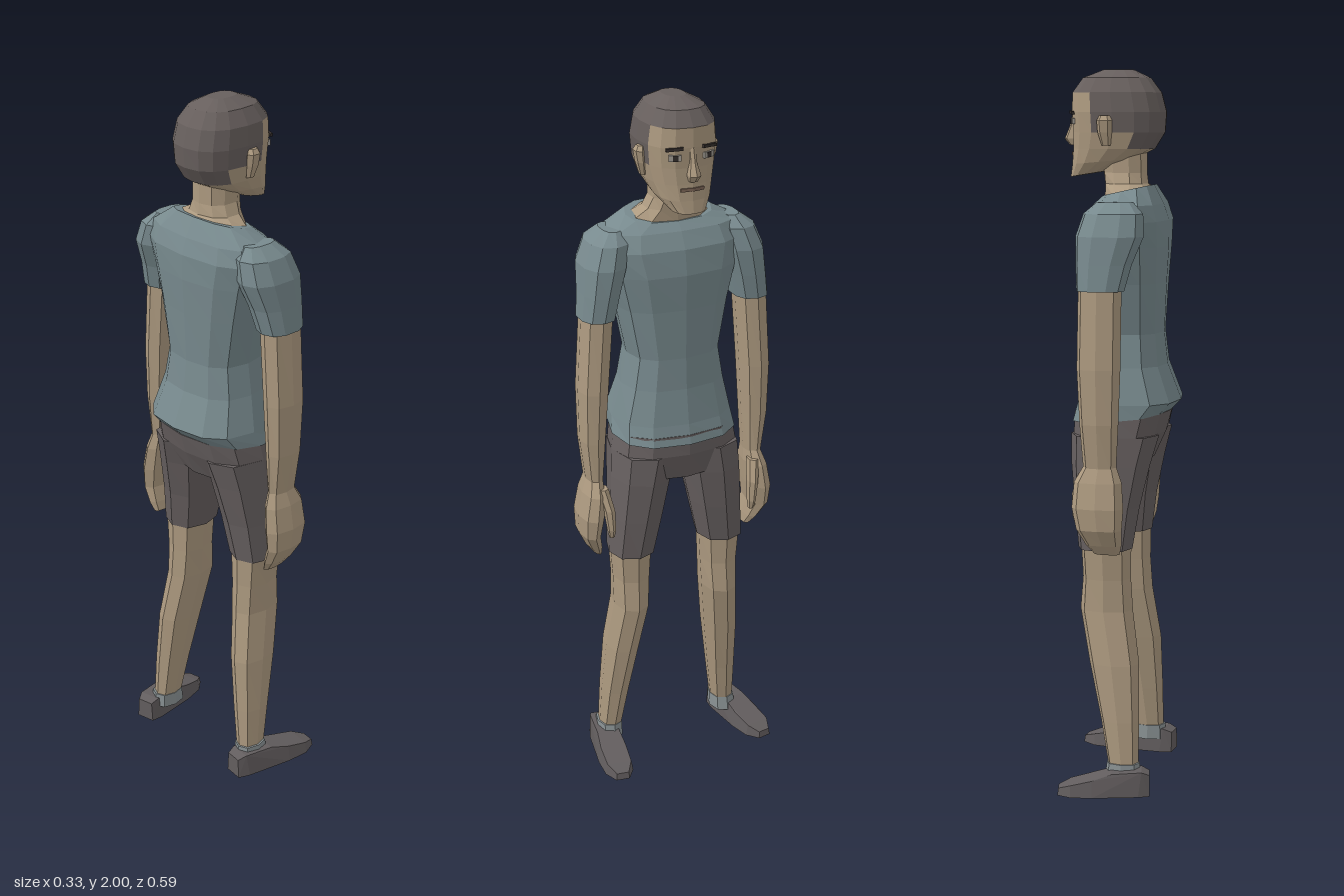
import * as THREE from 'three';
import { ConvexGeometry } from 'three/addons/geometries/ConvexGeometry.js';

const material = (name, color, extra = {}) => {
  const m = new THREE.MeshStandardMaterial({ color, flatShading: true, ...extra });
  m.name = name;
  return m;
};

// Joins horizontal rings [y, xBack, xFront, zMin, zMax, frontTilt] into a capped solid.
// slot(ring, side) picks a material index for each quad.
function loft(rings, sides = 8, power = 2.3, slot = () => 0) {
  if (rings[0][0] > rings[rings.length - 1][0]) rings = [...rings].reverse();
  const bend = (v) => Math.sign(v) * Math.pow(Math.abs(v), 2 / power);
  const points = rings.map(([y, x0, x1, z0, z1, tilt = 0]) =>
    Array.from({ length: sides }, (_, k) => {
      const a = (k / sides) * Math.PI * 2;
      const c = bend(Math.cos(a)), s = bend(Math.sin(a));
      return [(x0 + x1) / 2 + ((x1 - x0) / 2) * c, y + tilt * c, (z0 + z1) / 2 + ((z1 - z0) / 2) * s];
    }));
  const center = (r) => [(r[1] + r[2]) / 2, r[0], (r[3] + r[4]) / 2];
  const faces = [[], []];
  const last = rings.length - 1;
  for (let k = 0; k < sides; k++) {
    const n = (k + 1) % sides;
    for (let i = 0; i < last; i++) {
      const a = points[i][k], b = points[i][n], c = points[i + 1][n], d = points[i + 1][k];
      faces[slot(i, k)].push(...a, ...d, ...c, ...a, ...c, ...b);
    }
    faces[slot(0, k)].push(...center(rings[0]), ...points[0][k], ...points[0][n]);
    faces[slot(last, k)].push(...center(rings[last]), ...points[last][n], ...points[last][k]);
  }
  const g = new THREE.BufferGeometry();
  g.setAttribute('position', new THREE.Float32BufferAttribute(faces.flat(), 3));
  g.addGroup(0, faces[0].length / 3, 0);
  if (faces[1].length) g.addGroup(faces[0].length / 3, faces[1].length / 3, 1);
  g.computeVertexNormals();
  return g;
}

// Moves limb rings to the requested side of the body.
const sided = (rings, s) =>
  rings.map(([y, x0, x1, z0, z1, t]) => (s > 0 ? [y, x0, x1, z0, z1, t] : [y, x0, x1, -z1, -z0, t]));

export function createModel() {
  const skin = material('skin', 0xad9a80);
  const shirt = material('shirt', 0x788a8e);
  const shorts = material('shorts', 0x676060);
  const hair = material('hair', 0x675f5d);
  const shoe = material('shoe', 0x625d5e);
  const sock = material('sock', 0x8a9294);
  const eyeWhite = material('eyeWhite', 0x9f9a92);
  const dark = material('dark', 0x332d2b);
  const lip = material('lip', 0x7d6657);

  const model = new THREE.Group();
  model.name = 'standingMan';
  const add = (name, geometry, mat, parent = model) => {
    const mesh = new THREE.Mesh(geometry, mat);
    mesh.name = name;
    parent.add(mesh);
    return mesh;
  };

  // Torso, collar opening and neck
  add('shirtBody', loft([
    [1.045, -0.135, 0.135, -0.18, 0.18, -0.012],
    [1.09, -0.167, 0.122, -0.172, 0.172],
    [1.19, -0.128, 0.107, -0.147, 0.147],
    [1.28, -0.118, 0.102, -0.131, 0.131],
    [1.42, -0.124, 0.102, -0.16, 0.16],
    [1.52, -0.13, 0.106, -0.186, 0.186],
    [1.59, -0.13, 0.095, -0.21, 0.21],
    [1.635, -0.115, 0.07, -0.195, 0.195],
    [1.672, -0.088, 0.048, -0.125, 0.125, -0.015],
  ], 12, 2.6), shirt);
  add('neck', loft([
    [1.664, -0.085, 0.046, -0.12, 0.12, -0.012],
    [1.69, -0.072, 0.05, -0.075, 0.075],
    [1.72, -0.068, 0.055, -0.06, 0.06],
    [1.8, -0.068, 0.07, -0.058, 0.058],
  ], 10), skin);

  // Head: hair covers the crown, the back and the sideburns
  const hairSlot = (i, k) => {
    const side = k < 8 ? k : 15 - k;
    if (i >= 5) return 1;
    if (i >= 3) return side >= 3 ? 1 : 0;
    return i === 2 && side >= 5 ? 1 : 0;
  };
  add('head', loft([
    [1.715, 0.05, 0.147, -0.05, 0.05, -0.008],
    [1.75, -0.035, 0.142, -0.076, 0.076, -0.008],
    [1.785, -0.09, 0.139, -0.089, 0.089],
    [1.83, -0.118, 0.138, -0.099, 0.099],
    [1.885, -0.122, 0.142, -0.104, 0.104],
    [1.938, -0.108, 0.141, -0.098, 0.098],
    [1.978, -0.078, 0.112, -0.073, 0.073],
    [2.0, -0.03, 0.055, -0.03, 0.03],
  ], 16, 2.5, hairSlot), [skin, hair]);

  // Face
  add('nose', loft([
    [1.795, 0.125, 0.152, -0.013, 0.013],
    [1.812, 0.125, 0.167, -0.018, 0.018],
    [1.845, 0.125, 0.153, -0.01, 0.01],
    [1.885, 0.125, 0.143, -0.009, 0.009],
  ], 6), skin);
  for (const s of [1, -1]) {
    const plate = (name, w, h, x, y, z, yaw, mat) => {
      const m = add(name, new THREE.BoxGeometry(0.008, h, w), mat);
      m.position.set(x, y, z * s);
      m.rotation.y = -yaw * s;
      return m;
    };
    plate('eye', 0.034, 0.016, 0.132, 1.86, 0.048, 0.35, eyeWhite);
    plate('pupil', 0.014, 0.015, 0.134, 1.86, 0.047, 0.35, dark);
    plate('eyebrow', 0.046, 0.008, 0.134, 1.884, 0.05, 0.35, dark).rotation.x = 0.08 * s;
    plate('mouth', 0.034, 0.009, 0.137, 1.772, 0.016, 0.16, lip);
    add('ear', loft(sided([
      [1.795, 0.015, 0.04, 0.085, 0.103],
      [1.83, 0.01, 0.05, 0.088, 0.114],
      [1.862, 0.008, 0.052, 0.09, 0.12],
      [1.875, 0.015, 0.045, 0.09, 0.112],
    ], s), 6), skin);
  }

  // Hips
  add('shortsHips', loft([
    [1.06, -0.14, 0.13, -0.174, 0.174],
    [1.0, -0.124, 0.131, -0.184, 0.184],
    [0.925, -0.09, 0.115, -0.1, 0.1],
  ], 12, 2.6), shorts);

  // Limbs
  for (const s of [1, -1]) {
    const limb = (name, rings, mat, sides = 8, power = 2.4) =>
      add(name, loft(sided(rings, s), sides, power), mat);

    limb('sleeve', [
      [1.645, -0.065, 0.035, 0.15, 0.2],
      [1.615, -0.095, 0.07, 0.13, 0.242],
      [1.555, -0.1, 0.088, 0.14, 0.266],
      [1.48, -0.07, 0.085, 0.162, 0.272],
      [1.41, -0.052, 0.08, 0.178, 0.279],
    ], shirt, 10);
    limb('arm', [
      [1.43, -0.045, 0.075, 0.186, 0.272],
      [1.2, -0.045, 0.076, 0.204, 0.286],
      [1.05, -0.04, 0.068, 0.214, 0.283],
      [0.92, -0.033, 0.058, 0.224, 0.266],
    ], skin);
    limb('hand', [
      [0.935, -0.033, 0.057, 0.224, 0.265],
      [0.89, -0.05, 0.083, 0.222, 0.28],
      [0.82, -0.056, 0.088, 0.228, 0.293],
      [0.76, -0.052, 0.075, 0.236, 0.289],
      [0.715, -0.048, 0.052, 0.226, 0.266],
      [0.687, -0.04, 0.03, 0.222, 0.245],
    ], skin);
    limb('thumb', [
      [0.91, 0.03, 0.075, 0.218, 0.25],
      [0.85, 0.055, 0.096, 0.208, 0.238],
      [0.79, 0.065, 0.096, 0.207, 0.23],
      [0.765, 0.07, 0.088, 0.21, 0.225],
    ], skin, 6);
    limb('shortsLeg', [
      [1.0, -0.122, 0.128, 0.005, 0.184],
      [0.92, -0.1, 0.125, 0.026, 0.19],
      [0.8, -0.073, 0.112, 0.05, 0.197],
      [0.685, -0.056, 0.098, 0.074, 0.203],
    ], shorts);
    limb('leg', [
      [0.7, -0.053, 0.09, 0.08, 0.198],
      [0.6, -0.052, 0.085, 0.086, 0.19],
      [0.51, -0.058, 0.092, 0.092, 0.188],
      [0.36, -0.08, 0.062, 0.113, 0.204],
      [0.2, -0.083, 0.026, 0.135, 0.213],
      [0.06, -0.083, 0.0, 0.155, 0.217],
    ], skin);
    limb('sock', [
      [0.082, -0.088, 0.006, 0.15, 0.222],
      [0.04, -0.09, 0.012, 0.15, 0.224],
    ], sock);

    // Low shoe with a sloping toe, turned outwards
    const corners = [];
    for (const [x, y, w] of [
      [-0.115, 0, 0.028], [-0.08, 0, 0.037], [0.06, 0, 0.046], [0.125, 0, 0.042], [0.165, 0, 0.02],
      [-0.115, 0.06, 0.024], [-0.09, 0.07, 0.032], [0.0, 0.065, 0.033], [0.06, 0.047, 0.038],
      [0.125, 0.033, 0.036], [0.162, 0.02, 0.018],
    ]) corners.push(new THREE.Vector3(x, y, w), new THREE.Vector3(x, y, -w));
    const foot = add('shoe', new ConvexGeometry(corners), shoe);
    foot.position.set(s > 0 ? 0 : -0.015, 0, s > 0 ? 0.206 : -0.222);
    foot.rotation.y = s > 0 ? -0.13 : 0.2;
    foot.scale.x = s > 0 ? 1 : 0.92;
  }
  return model;
}
